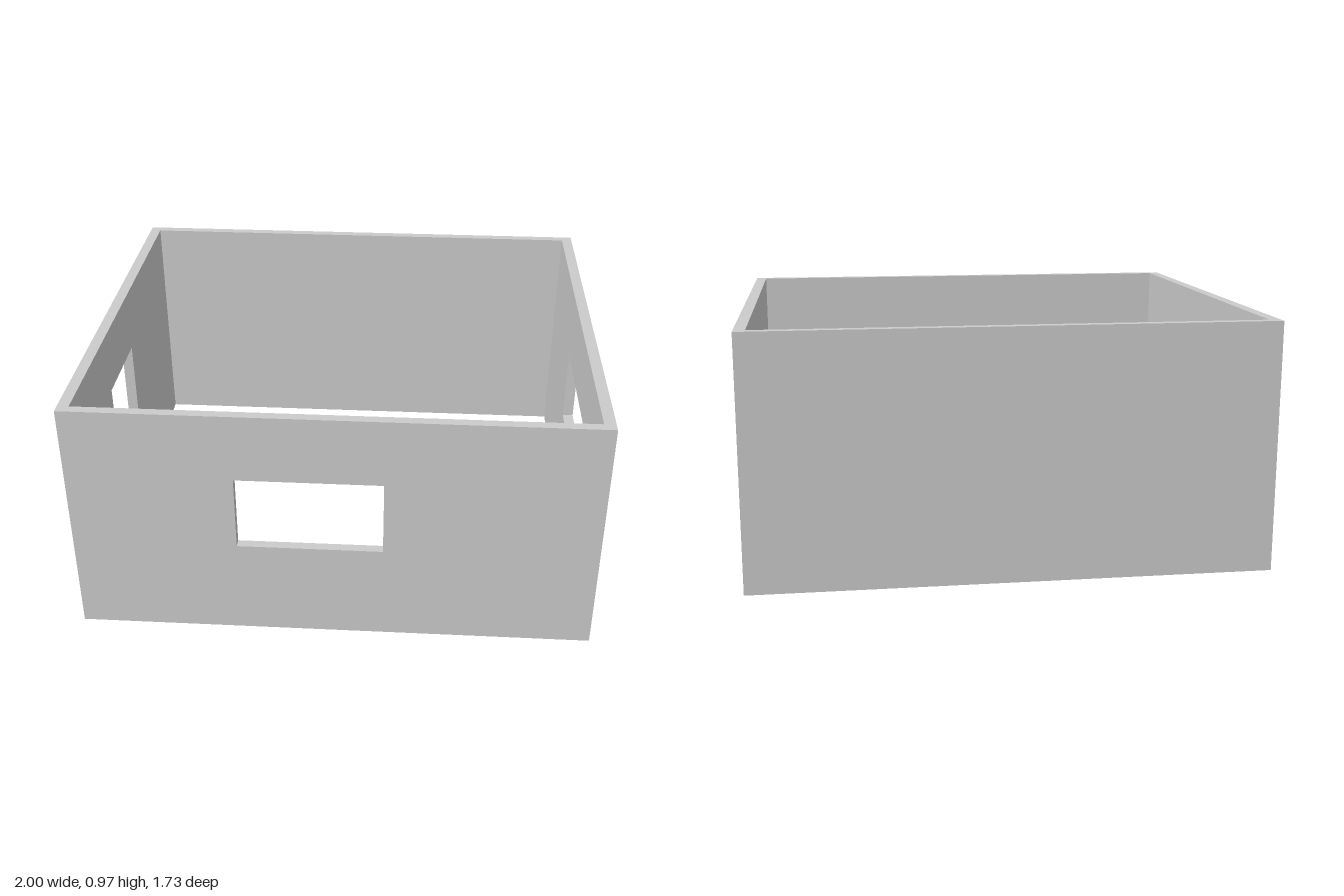
import * as THREE from 'three';

const HALF_X = 1, HALF_Z = 0.863, HEIGHT = 0.97;
const THICK_X = 0.044, THICK_Z = 0.037; // side walls, front and back walls

const material = new THREE.MeshStandardMaterial({ color: 0xcccccc, flatShading: true });

const polygon = (points) => points.map(([x, y]) => new THREE.Vector2(x, y));

// A wall with its outer face at z = 0 and mitred ends, so the corners close cleanly
function makeWall(name, half, thickness, mitre, { window, door }) {
  const outline = [[-half, 0]];
  if (door) {
    const { from, to, top } = door;
    outline.push([from, 0], [from, top], [to, top], [to, 0]);
  }
  outline.push([half, 0], [half, HEIGHT], [-half, HEIGHT]);
  const shape = new THREE.Shape(polygon(outline));
  if (window) {
    const { from, to, bottom, top } = window;
    shape.holes.push(new THREE.Path(polygon([[from, bottom], [from, top], [to, top], [to, bottom]])));
  }

  const geometry = new THREE.ExtrudeGeometry(shape, { depth: thickness, bevelEnabled: false });
  geometry.translate(0, 0, -thickness);

  // Pull the inner ends in by the thickness of the adjoining wall
  const pos = geometry.attributes.position;
  for (let i = 0; i < pos.count; i++) {
    const x = pos.getX(i);
    if (pos.getZ(i) < -thickness / 2 && Math.abs(x) > half - 1e-4) {
      pos.setX(i, Math.sign(x) * (half - mitre));
    }
  }
  geometry.computeVertexNormals();

  const wall = new THREE.Mesh(geometry, material);
  wall.name = name;
  return wall;
}

export function createModel() {
  const room = new THREE.Group();
  room.name = 'room';
  const window = { from: -0.368, to: 0.188, bottom: 0.396, top: 0.698 };
  const door = { from: -0.097, to: 0.277, top: 0.72 };

  // Front wall with a window, plain back wall
  const front = makeWall('frontWall', HALF_X, THICK_Z, THICK_X, { window });
  front.position.z = HALF_Z;
  const back = makeWall('backWall', HALF_X, THICK_Z, THICK_X, {});
  back.position.z = -HALF_Z;
  back.rotation.y = Math.PI;

  // Side walls: window on +x, doorway on -x
  const windowSide = makeWall('leftWindowWall', HALF_Z, THICK_X, THICK_Z, { window });
  windowSide.position.x = HALF_X;
  windowSide.rotation.y = Math.PI / 2;
  const doorSide = makeWall('rightDoorWall', HALF_Z, THICK_X, THICK_Z, { door });
  doorSide.position.x = -HALF_X;
  doorSide.rotation.y = -Math.PI / 2;

  room.add(front, back, windowSide, doorSide);
  return room;
}
